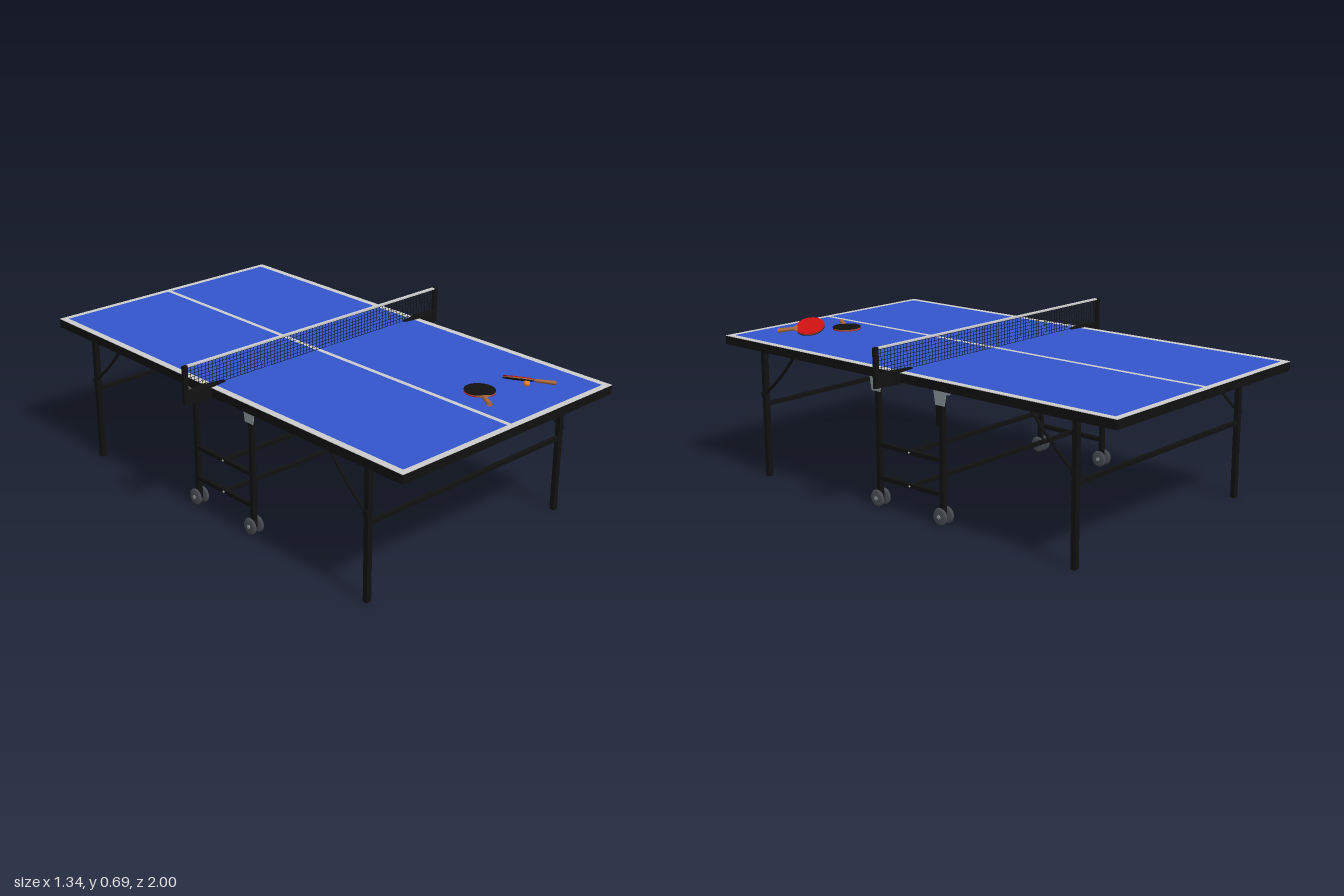
import * as THREE from 'three';
import { mergeGeometries } from 'three/addons/utils/BufferGeometryUtils.js';

const mat = (color) => new THREE.MeshStandardMaterial({ color });
const black = mat(0x111111), grey = mat(0xcccccc), blue = mat(0x3355cc), red = mat(0xcc1111);
const wood = mat(0xa8663a), steel = mat(0x8a979c), rubber = mat(0x4a4e54), orange = mat(0xf08030);

function add(parent, name, geometry, material, x = 0, y = 0, z = 0) {
  const mesh = new THREE.Mesh(geometry, material);
  mesh.name = name;
  mesh.position.set(x, y, z);
  parent.add(mesh);
  return mesh;
}
const box = (parent, name, w, h, d, material, x, y, z) =>
  add(parent, name, new THREE.BoxGeometry(w, h, d), material, x, y, z);

// Extruded outline, centred on its depth
function slab(points, depth) {
  const shape = new THREE.Shape(points.map(([x, y]) => new THREE.Vector2(x, y)));
  return new THREE.ExtrudeGeometry(shape, { depth, bevelEnabled: false }).translate(0, 0, -depth / 2);
}

function tableTop() {
  const g = new THREE.Group();
  g.name = 'tableTop';
  box(g, 'board', 1.11, 0.035, 2, black, 0, 0.5575, 0);
  for (const s of [-1, 1]) {
    box(g, 'playingSurface', 0.517, 0.002, 1.95, blue, s * 0.2685, 0.576, 0);
    box(g, 'sideLine', 0.028, 0.002, 2, grey, s * 0.541, 0.576, 0);
    box(g, 'endLine', 1.054, 0.002, 0.025, grey, 0, 0.576, s * 0.9875);
  }
  box(g, 'centreLine', 0.02, 0.002, 1.95, grey, 0, 0.576, 0);
  return g;
}

function net() {
  const g = new THREE.Group();
  g.name = 'net';
  const strings = [], t = 0.0013;
  for (let i = 0; i <= 7; i++)
    strings.push(new THREE.BoxGeometry(1.305, t, t).translate(0, 0.581 + i * 0.0136, 0));
  for (let i = -39; i <= 39; i++)
    strings.push(new THREE.BoxGeometry(t, 0.102, t).translate(i * 0.0167, 0.631, 0));
  add(g, 'netStrings', mergeGeometries(strings), black);
  box(g, 'topTape', 1.305, 0.006, 0.014, grey, 0, 0.683, 0);

  // Spindle-shaped clamps, gripping the board above and below
  const outer = [[0.555, -0.017], [0.6, -0.015], [0.672, -0.005], [0.672, 0.005], [0.6, 0.015], [0.555, 0.017]];
  const inner = [[0.48, -0.006], [0.555, -0.017], [0.555, 0.017], [0.48, 0.006]];
  for (const s of [0, Math.PI]) {
    const side = new THREE.Group();
    side.name = 'netSupport';
    side.rotation.y = s;
    g.add(side);
    box(side, 'netPost', 0.02, 0.151, 0.013, black, 0.662, 0.6115, 0);
    add(side, 'clampBody', slab(outer, 0.05).rotateX(-Math.PI / 2), black, 0, 0.56, 0);
    add(side, 'upperJaw', slab(inner, 0.006).rotateX(-Math.PI / 2), black, 0, 0.58, 0);
    add(side, 'lowerJaw', slab(inner, 0.006).rotateX(-Math.PI / 2), black, 0, 0.537, 0);
  }
  return g;
}

// One pair of end legs with rails and curved braces, at +z
function endLegs() {
  const g = new THREE.Group();
  g.name = 'endLegs';
  const curve = new THREE.QuadraticBezierCurve3(
    new THREE.Vector3(0, 0.35, 0.805), new THREE.Vector3(0, 0.43, 0.7), new THREE.Vector3(0, 0.535, 0.615));
  for (const s of [-1, 1]) {
    box(g, 'leg', 0.022, 0.54, 0.02, black, s * 0.514, 0.27, 0.805);
    box(g, 'underRail', 0.022, 0.012, 0.5, black, s * 0.514, 0.535, 0.565);
    add(g, 'brace', new THREE.TubeGeometry(curve, 10, 0.006, 8), black, s * 0.522, 0, 0);
    box(g, 'braceBolt', 0.02, 0.022, 0.02, black, s * 0.52, 0.35, 0.805);
  }
  box(g, 'legCrossbar', 1.01, 0.016, 0.016, black, 0, 0.31, 0.805);
  return g;
}

// Twin caster, its axle along x
function caster(parent, x, z) {
  const g = new THREE.Group();
  g.name = 'caster';
  g.position.set(x, 0.041, z);
  parent.add(g);
  const profile = [[0, -0.008], [0.026, -0.007], [0.032, -0.004], [0.034, 0], [0.032, 0.004], [0.026, 0.007], [0, 0.008]]
    .map(([r, y]) => new THREE.Vector2(r, y));
  for (const s of [-1, 1]) {
    add(g, 'wheel', new THREE.LatheGeometry(profile, 28).rotateZ(Math.PI / 2), rubber, s * 0.018, 0, 0);
    add(g, 'hub', new THREE.CylinderGeometry(0.008, 0.008, 0.004, 16).rotateZ(Math.PI / 2), steel, s * 0.027, 0, 0);
  }
  add(g, 'axle', new THREE.CylinderGeometry(0.005, 0.005, 0.04, 12).rotateZ(Math.PI / 2), steel);
}

function undercarriage() {
  const g = new THREE.Group();
  g.name = 'undercarriage';
  const plate = [[-0.022, 0.468], [0.022, 0.468], [0.035, 0.54], [-0.035, 0.54]];
  const gusset = [[-0.024, 0.505], [0.024, 0.505], [0.035, 0.54], [-0.035, 0.54]];
  for (const s of [-1, 1]) {
    for (const z of [-0.167, 0.167]) {
      box(g, 'post', 0.02, 0.475, 0.018, black, s * 0.49, 0.2675, z);
      add(g, 'bracketPlate', slab(plate, 0.004).rotateY(Math.PI / 2), steel, s * 0.503, 0, z);
      add(g, 'bracketGusset', slab(gusset, 0.004).rotateY(Math.PI / 2), steel, s * 0.477, 0, z);
      box(g, 'bracketTop', 0.03, 0.004, 0.07, steel, s * 0.49, 0.538, z);
      caster(g, s * 0.49, z);
    }
    for (const y of [0.122, 0.255]) box(g, 'sideRail', 0.018, 0.017, 0.334, black, s * 0.49, y, 0);
  }
  for (const y of [0.122, 0.255]) {
    box(g, 'crossRail', 0.98, 0.016, 0.016, black, 0, y, 0);
    for (const s of [-1, 1])
      add(g, 'railBolt', new THREE.CylinderGeometry(0.004, 0.004, 0.003, 12).rotateZ(Math.PI / 2), grey, s * 0.5, y, 0);
  }
  return g;
}

// Bat lying in its own xz plane with the handle along +x
function bat(name, top, bottom, position, handleDir, normal) {
  const g = new THREE.Group();
  g.name = name;
  const face = (r, cut) => { // round head, cut straight near the handle
    const pts = [];
    for (let i = 0; i <= 32; i++) {
      const a = cut + (i / 32) * (2 * Math.PI - 2 * cut);
      pts.push([r * Math.cos(a), r * Math.sin(a) * 0.97]);
    }
    return pts;
  };
  const flat = (pts, d) => slab(pts, d).rotateX(-Math.PI / 2);
  add(g, 'blade', flat(face(0.06, 0.2), 0.004), wood);
  add(g, 'neck', flat([[0.04, -0.03], [0.058, -0.02], [0.072, -0.009], [0.072, 0.009], [0.058, 0.02], [0.04, 0.03]], 0.0038), wood);
  add(g, 'topRubber', flat(face(0.0605, 0.55), 0.003), top, 0, 0.0035, 0);
  add(g, 'bottomRubber', flat(face(0.0605, 0.55), 0.003), bottom, 0, -0.0035, 0);
  const handle = new THREE.CylinderGeometry(0.011, 0.0085, 0.078, 16).rotateZ(-Math.PI / 2).scale(1, 0.75, 1);
  add(g, 'handle', handle, wood, 0.098, 0, 0);

  const n = new THREE.Vector3(...normal).normalize();
  const h = new THREE.Vector3(...handleDir);
  h.addScaledVector(n, -h.dot(n)).normalize();
  g.quaternion.setFromRotationMatrix(new THREE.Matrix4().makeBasis(h, n, h.clone().cross(n)));
  g.position.set(...position);
  return g;
}

export function createModel() {
  const model = new THREE.Group();
  model.name = 'tableTennisTable';
  const farLegs = endLegs();
  farLegs.rotation.y = Math.PI;
  model.add(tableTop(), net(), endLegs(), farLegs, undercarriage());

  // One bat lies flat, the other leans on the ball
  model.add(bat('flatBat', black, red, [0.14, 0.5845, 0.715], [-0.55, 0, 0.83], [0.02, 1, 0]));
  model.add(bat('leaningBat', red, black, [0.295, 0.605, 0.77], [0.74, 0, 0.67], [0.36, 0.9, -0.21]));
  add(model, 'ball', new THREE.SphereGeometry(0.0125, 24, 16), orange, 0.31, 0.5895, 0.795);
  return model;
}
